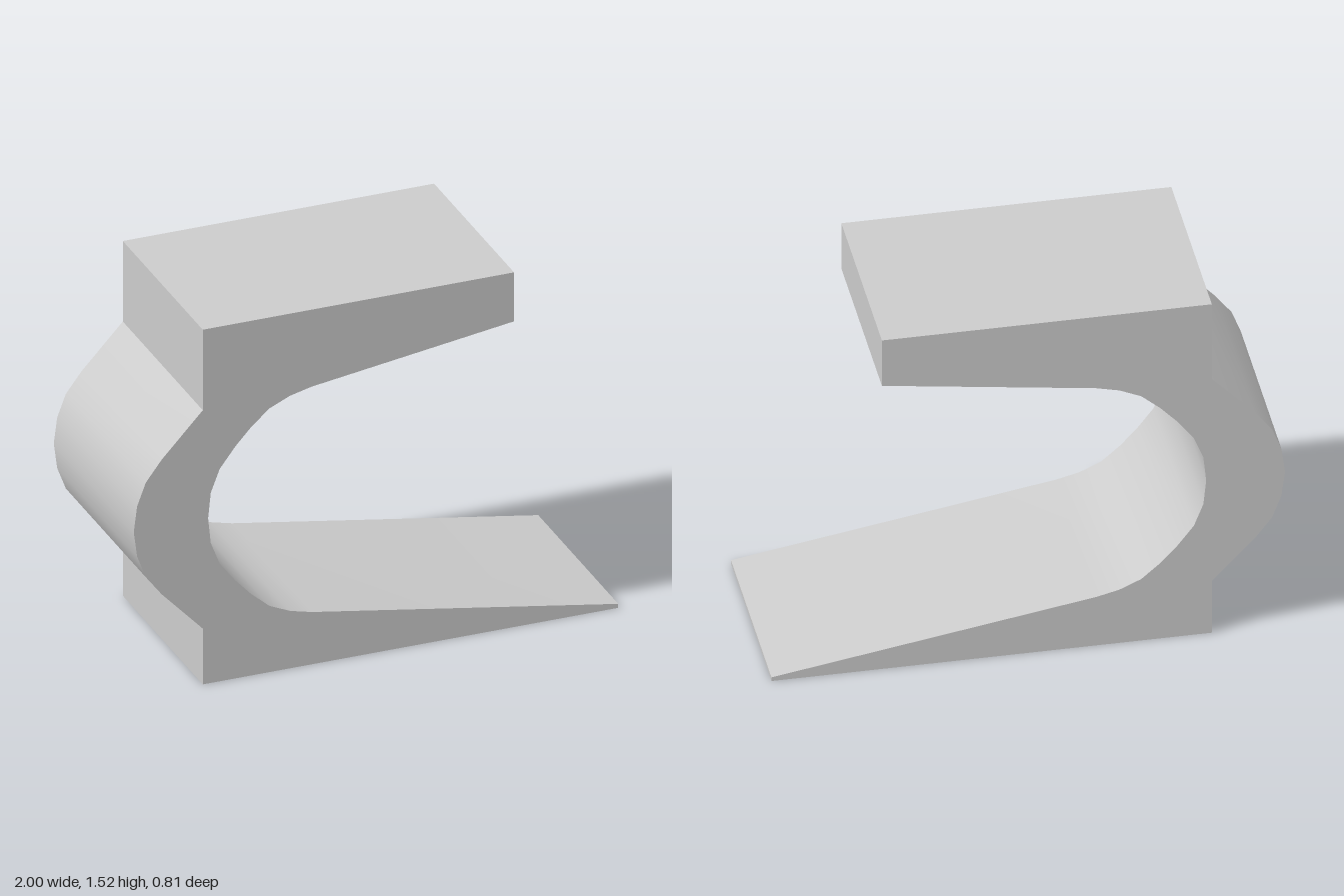
import * as THREE from 'three';
import { toCreasedNormals } from 'three/addons/utils/BufferGeometryUtils.js';

const MID = 0.707; // height of the bend's axis of symmetry
const DEPTH = 0.81;

// Upper half of a bend, followed by its reflection below the axis
const mirrored = (half) => [
  ...half,
  ...half.slice(0, -1).reverse().map(([x, y]) => [x, 2 * MID - y]),
];

export function createModel() {
  const group = new THREE.Group();
  group.name = 'clip';

  // Outer and inner curves of the bend, from top to bottom
  const outer = mirrored([
    [-0.715, 1.175], [-0.885, 0.995], [-0.95, 0.91], [-0.986, 0.815], [-1, MID],
  ]);
  const inner = mirrored([
    [-0.265, 1.19], [-0.355, 1.168], [-0.44, 1.13], [-0.515, 1.065],
    [-0.58, 0.995], [-0.645, 0.91], [-0.682, 0.815], [-0.693, MID],
  ]);

  // Closed side profile: thick upper jaw, bend, thin tapering lower jaw
  const outline = [
    [0.57, 1.52], [-0.715, 1.52],
    ...outer,
    [-0.715, 0], [1, 0], [1, 0.017],
    ...inner.reverse(),
    [0.57, 1.31],
  ];
  const shape = new THREE.Shape(outline.map(([x, y]) => new THREE.Vector2(x, y)));

  const geometry = new THREE.ExtrudeGeometry(shape, { depth: DEPTH, bevelEnabled: false });
  geometry.translate(0, 0, -DEPTH / 2);

  const body = new THREE.Mesh(
    toCreasedNormals(geometry, Math.PI / 6),
    new THREE.MeshStandardMaterial({ color: 0xcccccc }),
  );
  body.name = 'clipBody';
  group.add(body);
  return group;
}
